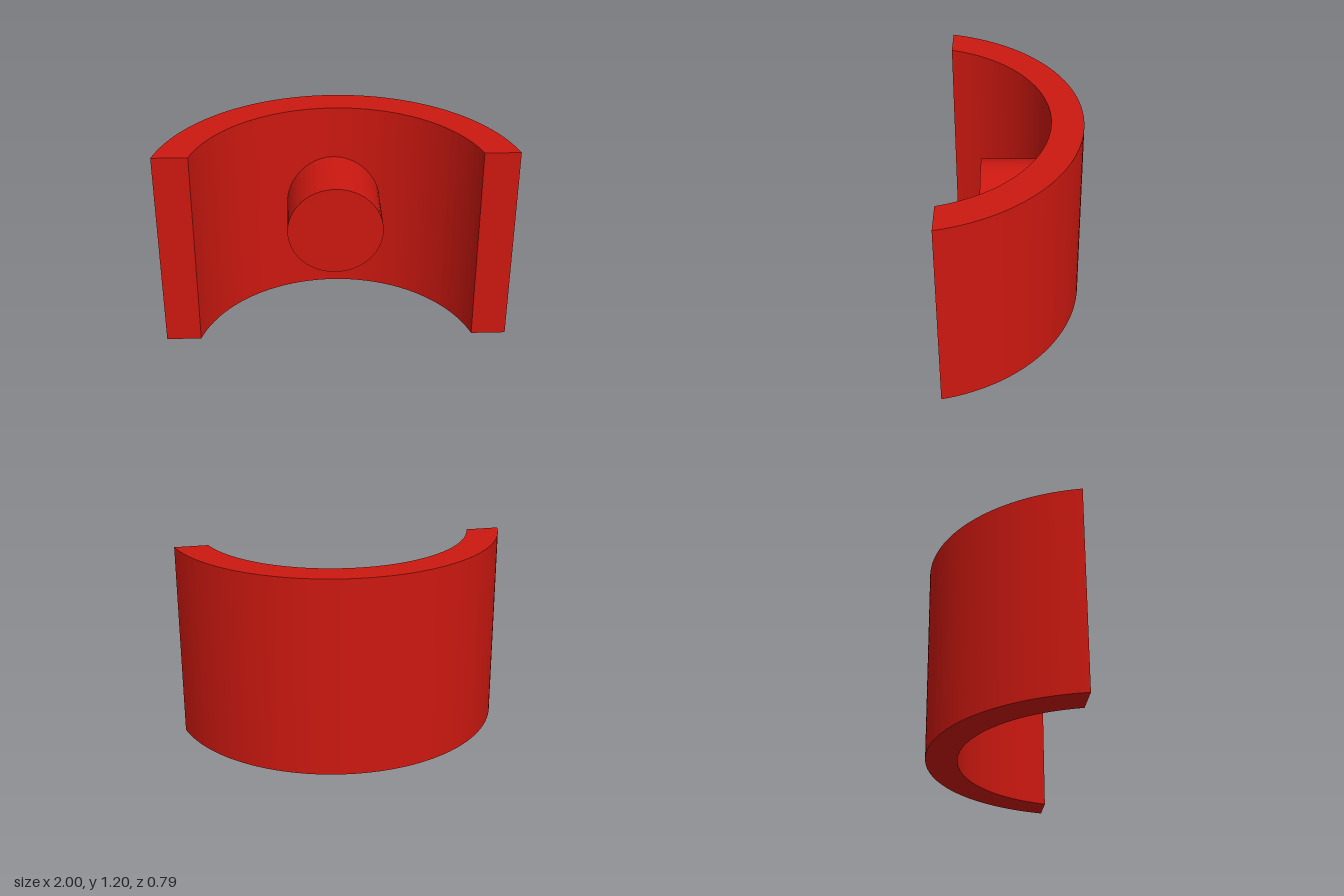
import * as THREE from 'three';

const HEIGHT = 1.2;
const FRONT = 0.395; // z of the cut ends; the back of the wall is at -FRONT

// Circle through (+-halfChord, FRONT) whose rearmost point is at z = back
function arcThrough(halfChord, back) {
  const rise = FRONT - back;
  const radius = (halfChord ** 2 + rise ** 2) / (2 * rise);
  const centre = -(back + radius); // shape y is -z
  return { radius, centre, start: Math.asin((-FRONT - centre) / radius) };
}

export function createModel() {
  const group = new THREE.Group();
  group.name = 'curvedHolder';
  const material = new THREE.MeshStandardMaterial({ color: 0xcc1810, flatShading: true });

  // Curved wall: arc-shaped section extruded upwards
  const outer = arcThrough(1, -FRONT);
  const inner = arcThrough(0.8, -0.21);
  const section = new THREE.Shape();
  section.absarc(0, outer.centre, outer.radius, outer.start, Math.PI - outer.start, false);
  section.absarc(0, inner.centre, inner.radius, Math.PI - inner.start, inner.start, true);
  section.closePath();
  const wallGeometry = new THREE.ExtrudeGeometry(section, {
    depth: HEIGHT, bevelEnabled: false, curveSegments: 36,
  });
  wallGeometry.rotateX(-Math.PI / 2);
  const wall = new THREE.Mesh(wallGeometry, material);
  wall.name = 'curvedWall';
  group.add(wall);

  // Round peg pointing forward, its rear end sunk into the wall
  const pegFront = 0.195, pegBack = -0.27;
  const pegGeometry = new THREE.CylinderGeometry(0.28, 0.28, pegFront - pegBack, 48);
  pegGeometry.rotateX(Math.PI / 2);
  const peg = new THREE.Mesh(pegGeometry, material);
  peg.name = 'peg';
  peg.position.set(0, HEIGHT / 2, (pegFront + pegBack) / 2);
  group.add(peg);

  return group;
}
